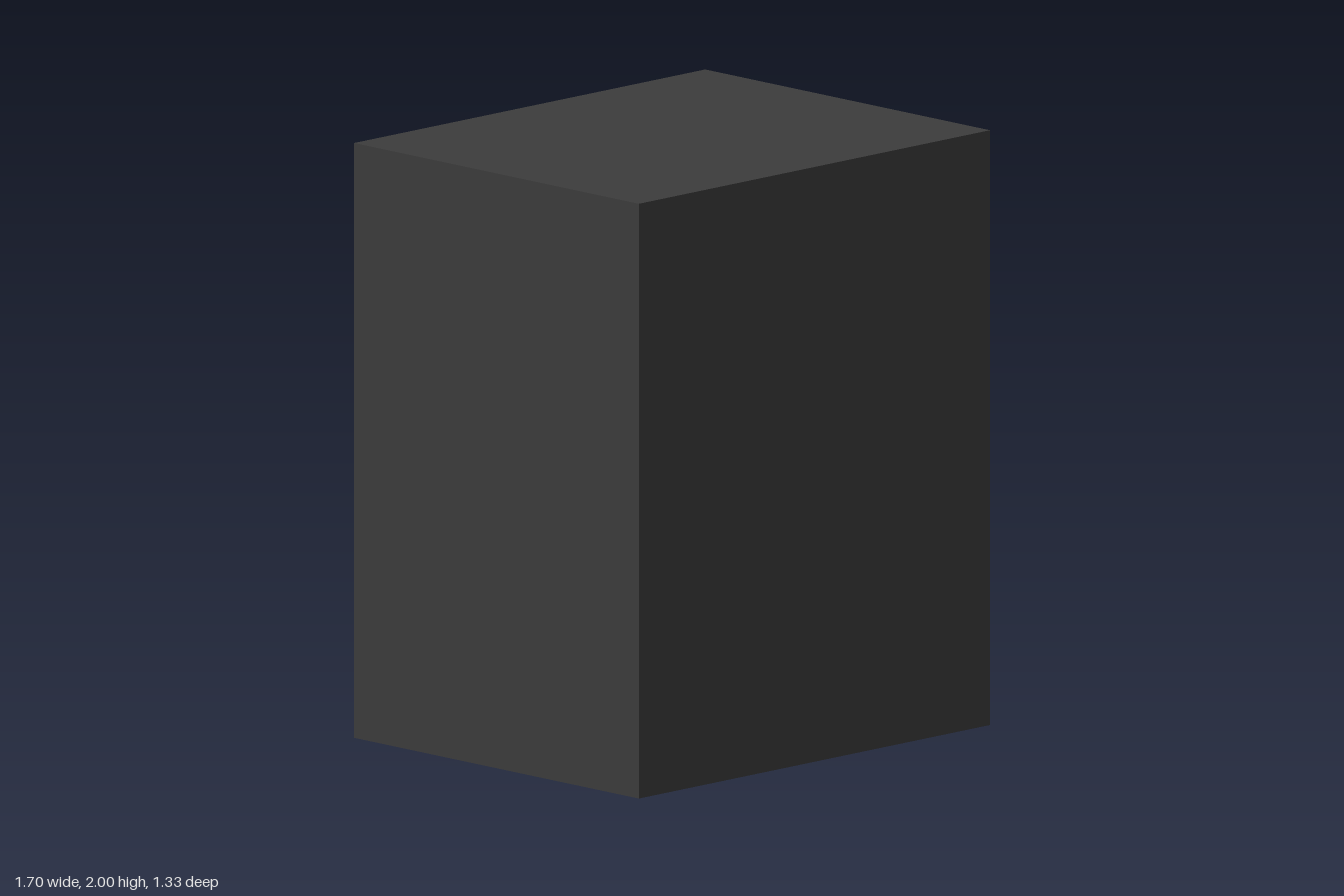
import * as THREE from 'three';
import { toCreasedNormals } from 'three/addons/utils/BufferGeometryUtils.js';

const FRONT = 0.775, BACK = -0.85, HALF = 0.665, DEPTH = 0.11;
const make = (color) => new THREE.MeshStandardMaterial({ color, side: THREE.DoubleSide });

// Points on an arc, from angle a to b, in the baffle plane
function arc(cx, cy, r, a, b, n) {
  return Array.from({ length: n + 1 }, (_, i) => {
    const t = a + (b - a) * i / n;
    return new THREE.Vector2(cx + r * Math.cos(t), cy + r * Math.sin(t));
  });
}
const circle = (y, r, n) => arc(0, y, r, 0, Math.PI * 2, n).slice(0, n);
const rect = (x0, y0, x1, y1) =>
  [[x0, y0], [x1, y0], [x1, y1], [x0, y1]].map(([x, y]) => new THREE.Vector2(x, y));

// Flat plate facing +x, with optional holes
function plate(name, outline, x, material, holes = []) {
  const shape = new THREE.Shape(outline);
  shape.holes = holes.map((h) => new THREE.Path(h));
  const mesh = new THREE.Mesh(new THREE.ShapeGeometry(shape), material);
  mesh.name = name;
  mesh.rotation.y = Math.PI / 2;
  mesh.position.x = x;
  return mesh;
}

// Band that runs along an outline from x0 back to x1
function wall(name, outline, x0, x1, material) {
  const pos = [], index = [], n = outline.length;
  outline.forEach((p, i) => {
    pos.push(x0, p.y, -p.x, x1, p.y, -p.x);
    const a = 2 * i, b = 2 * ((i + 1) % n);
    index.push(a, a + 1, b, b, a + 1, b + 1);
  });
  const geo = new THREE.BufferGeometry();
  geo.setAttribute('position', new THREE.Float32BufferAttribute(pos, 3));
  geo.setIndex(index);
  geo.computeVertexNormals();
  const mesh = new THREE.Mesh(toCreasedNormals(geo, 0.6), material);
  mesh.name = name;
  return mesh;
}

// Front half of a ball, bulging toward +x
function dome(name, r, x, y, material) {
  const geo = new THREE.SphereGeometry(r, 32, 12, 0, Math.PI * 2, 0, Math.PI / 2);
  geo.rotateZ(-Math.PI / 2);
  const mesh = new THREE.Mesh(geo, material);
  mesh.name = name;
  mesh.position.set(x, y, 0);
  return mesh;
}

export function createModel() {
  const model = new THREE.Group();
  model.name = 'loudspeaker';
  const dark = make(0x3c3c3c), grey = make(0xcccccc), black = make(0x303030);
  const floorX = FRONT - DEPTH;

  // Outlines of the baffle openings
  const wooferY = 0.67, tweeterY = 1.615;
  const woofer = circle(wooferY, 0.556, 24);
  const eyeR = 0.392, eyeDrop = 0.207, t = Math.asin(eyeDrop / eyeR);
  const eye = [
    ...arc(0, tweeterY - eyeDrop, eyeR, t, Math.PI - t, 16).slice(0, -1),
    ...arc(0, tweeterY + eyeDrop, eyeR, Math.PI + t, 2 * Math.PI - t, 16).slice(0, -1),
  ];
  const tweeterHole = circle(tweeterY, 0.095, 32);
  const portR = 0.637, portX = 0.595, portY = 0.075;
  const ports = [1, -1].map((s) => [
    new THREE.Vector2(s * portX, portY),
    ...arc(0, wooferY, portR, -Math.acos(portX / portR),
      -Math.asin((wooferY - portY) / portR), 14).map((p) => new THREE.Vector2(s * p.x, p.y)),
  ]);

  // Cabinet
  const box = rect(-HALF, 0, HALF, 2);
  model.add(
    wall('cabinetSides', box, FRONT, BACK, dark),
    plate('cabinetBack', box, BACK, dark),
    plate('frontBaffle', box, FRONT, dark, [woofer, eye, ...ports]),
  );

  // Woofer
  model.add(
    wall('wooferRim', woofer, FRONT, floorX, dark),
    plate('wooferCone', woofer, floorX, grey),
    dome('wooferDome', 0.185, floorX, wooferY, grey),
  );

  // Tweeter, with its dome sunk into a round hole
  const sink = 0.07;
  model.add(
    wall('tweeterRim', eye, FRONT, floorX, dark),
    plate('tweeterPlate', eye, floorX, grey, [tweeterHole]),
    wall('tweeterHoleWall', tweeterHole, floorX, floorX - sink, grey),
    dome('tweeterDome', 0.094, floorX - sink, tweeterY, black),
  );

  // Bass ports in the lower corners
  ports.forEach((port, i) => {
    const side = i ? 'left' : 'right';
    model.add(
      wall(side + 'PortWall', port, FRONT, FRONT - 0.5, grey),
      plate(side + 'PortBack', port, FRONT - 0.5, grey),
    );
  });

  return model;
}
